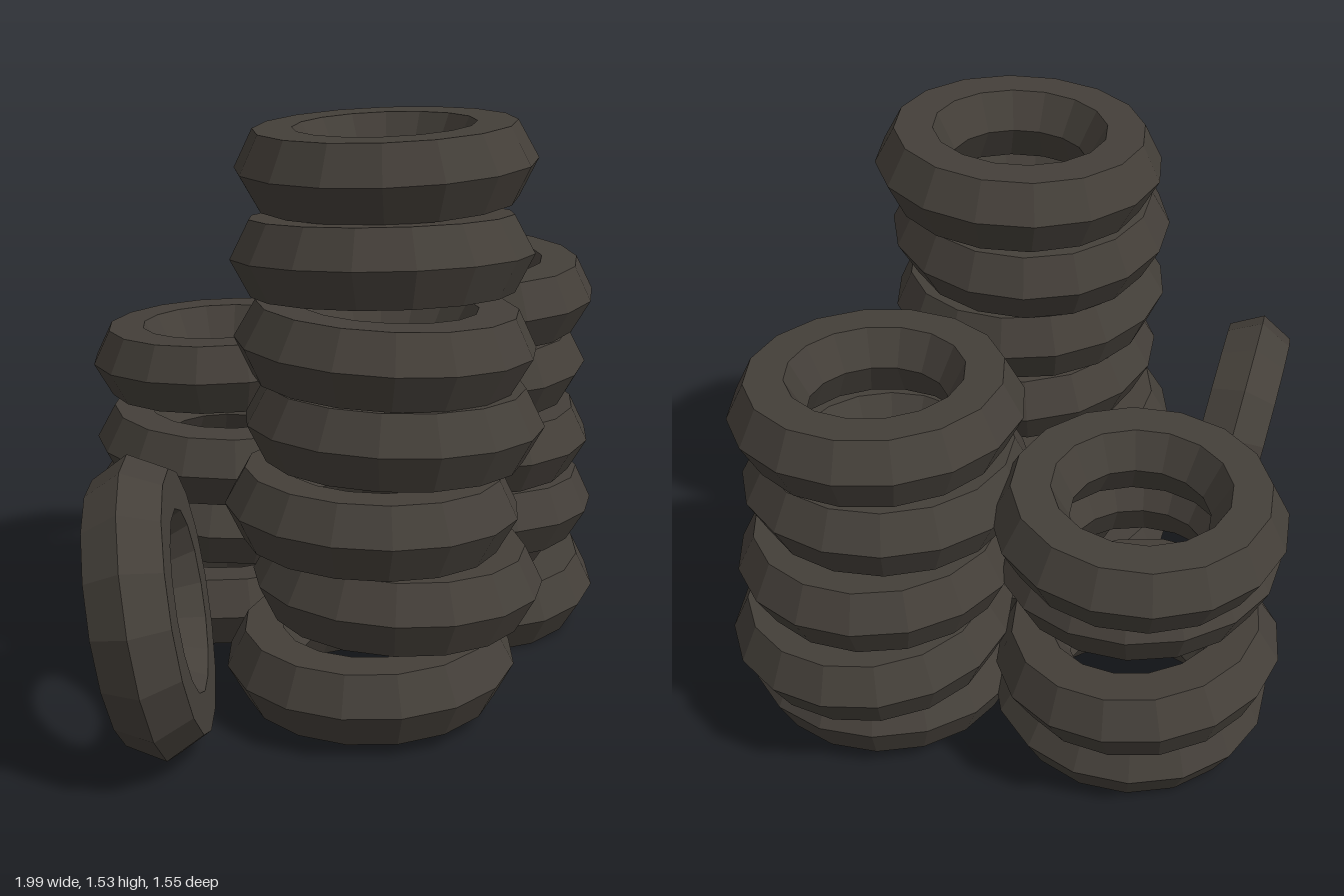
import * as THREE from 'three';

const rubber = new THREE.MeshStandardMaterial({ color: 0x443f39, flatShading: true });
rubber.name = 'darkRubber';

// Low-poly tire lying flat: a hexagonal section swept around y
function tireGeometry() {
  const geo = new THREE.TorusGeometry(0.279, 0.1, 6, 16);
  geo.rotateX(-Math.PI / 2);
  geo.scale(1, 1.1, 1);
  return geo;
}

// Each tire: x, y, z, slope along x, slope along z
const stacks = {
  tallStack: [
    [-0.145, 0.135, 0.345, 0.03, 0.01],
    [-0.08, 0.345, 0.385, -0.04, 0],
    [-0.145, 0.555, 0.345, -0.04, 0],
    [-0.13, 0.785, 0.397, -0.04, 0.01],
    [-0.14, 0.985, 0.375, -0.04, -0.02],
    [-0.132, 1.205, 0.355, -0.05, 0.065],
    [-0.065, 1.42, 0.32, 0.04, 0.025],
  ],
  middleStack: [
    [0.54, 0.12, 0.235, 0.06, -0.055],
    [0.617, 0.345, 0.183, -0.02, -0.03],
    [0.573, 0.555, 0.185, 0.015, -0.03],
    [0.53, 0.78, 0.183, 0.045, -0.025],
    [0.535, 0.985, 0.2, 0.04, -0.04],
  ],
  shortStack: [
    [0.13, 0.12, -0.32, 0.01, 0.05],
    [0.18, 0.34, -0.395, -0.03, -0.07],
    [0.1, 0.56, -0.31, 0.02, -0.03],
    [0.18, 0.775, -0.395, 0.01, 0.04],
  ],
};

export function createModel() {
  const model = new THREE.Group();
  model.name = 'tirePile';
  const geo = tireGeometry();

  // Three uneven stacks
  for (const [name, tires] of Object.entries(stacks)) {
    const stack = new THREE.Group();
    stack.name = name;
    tires.forEach(([x, y, z, sx, sz], i) => {
      const tire = new THREE.Mesh(geo, rubber);
      tire.name = `tire${i + 1}`;
      tire.position.set(x, y, z);
      tire.rotation.set(-Math.atan(sz), i * 0.55, Math.atan(sx));
      // Spin about the tire's own axle first, then tilt
      tire.quaternion.setFromEuler(new THREE.Euler(-Math.atan(sz), 0, Math.atan(sx)))
        .multiply(new THREE.Quaternion().setFromAxisAngle(new THREE.Vector3(0, 1, 0), i * 0.55));
      stack.add(tire);
    });
    model.add(stack);
  }

  // Upright tire, tipped slightly back
  const leaning = new THREE.Mesh(geo, rubber);
  leaning.name = 'leaningTire';
  const axle = new THREE.Vector3(0.56, 0.17, 0.83).normalize();
  leaning.quaternion.setFromUnitVectors(new THREE.Vector3(0, 1, 0), axle);
  leaning.position.set(-0.67, 0.375, 0.045);
  model.add(leaning);

  return model;
}
